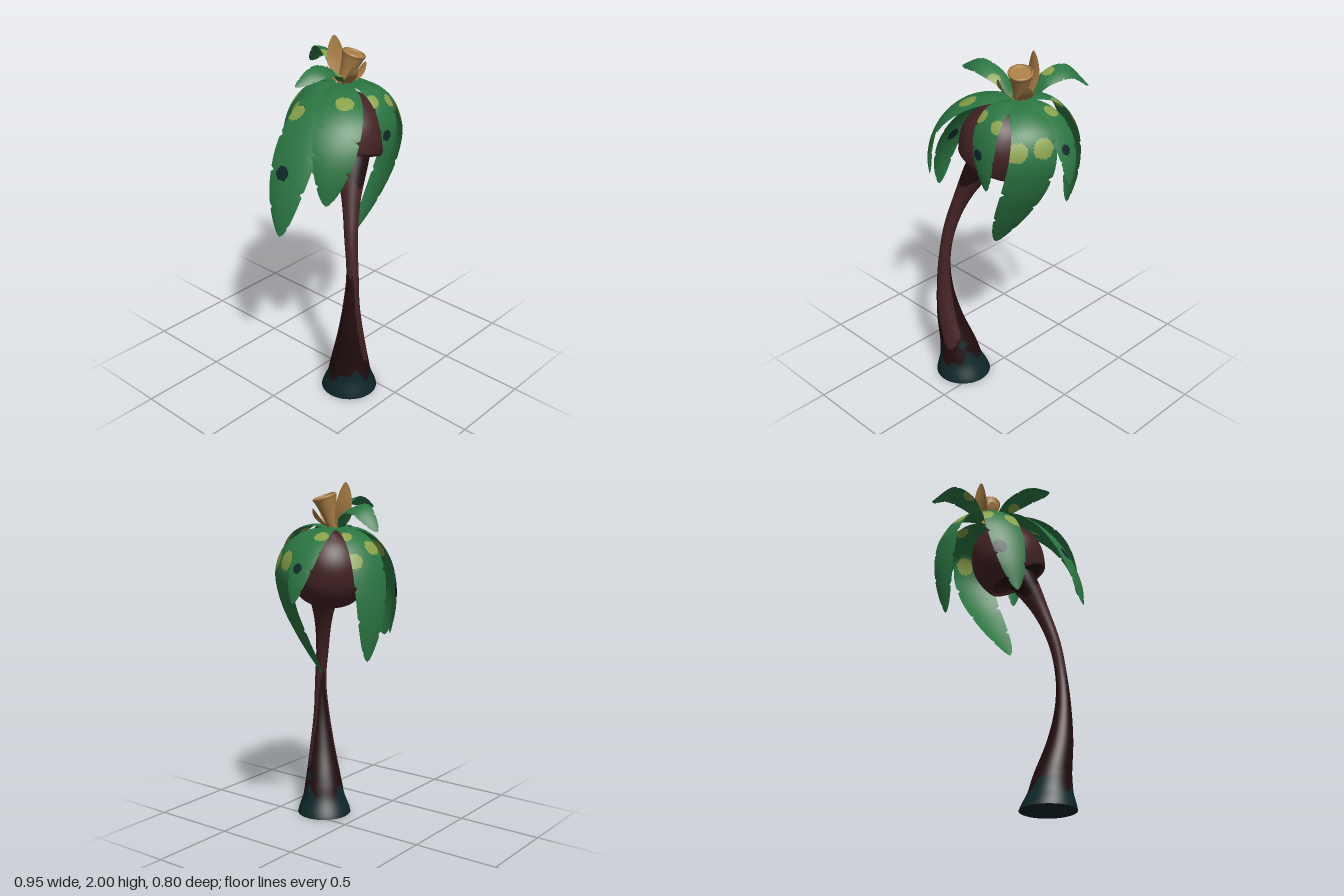
import * as THREE from 'three';

const V = (a) => new THREE.Vector3(...a);
const UP = new THREE.Vector3(0, 1, 0);
const CROWN = [0.11, 1.76, -0.02];

const mat = (name, color) => {
  const m = new THREE.MeshStandardMaterial({ color, side: THREE.DoubleSide });
  m.name = name;
  return m;
};

// Grid surface from point(i, j); colour(i, j) picks the material of each triangle.
function surface(nu, nv, closed, point, colour, materials) {
  const cols = closed ? nv : nv + 1;
  const pos = [];
  for (let i = 0; i <= nu; i++)
    for (let j = 0; j < cols; j++) pos.push(...point(i, j).toArray());
  const lists = materials.map(() => []);
  for (let i = 0; i < nu; i++) {
    for (let j = 0; j < nv; j++) {
      const k = (j + 1) % cols;
      const a = i * cols + j, b = i * cols + k, c = a + cols, d = b + cols;
      lists[colour(i + 0.33, j + 0.33)].push(a, b, c);
      lists[colour(i + 0.67, j + 0.67)].push(b, d, c);
    }
  }
  const geo = new THREE.BufferGeometry();
  geo.setAttribute('position', new THREE.Float32BufferAttribute(pos, 3));
  geo.setIndex(lists.flat());
  let start = 0;
  lists.forEach((l, m) => {
    if (l.length) geo.addGroup(start, l.length, m);
    start += l.length;
  });
  geo.computeVertexNormals();
  return new THREE.Mesh(geo, materials);
}

// Spine that leaves the crown level and falls to the tip; bow pushes its middle aside.
function droop(tip, bow) {
  const aim = V(tip).sub(V(CROWN)).setY(0).normalize();
  const base = V(CROWN).addScaledVector(aim, 0.04);
  const path = [];
  for (let i = 0; i <= 6; i++) {
    const s = i / 6, reach = Math.sin((s * Math.PI) / 2), swing = Math.sin(s * Math.PI);
    path.push([
      THREE.MathUtils.lerp(base.x, tip[0], reach) + bow[0] * swing,
      THREE.MathUtils.lerp(base.y, tip[1], 1 - Math.cos((s * Math.PI) / 2)) + bow[1] * swing,
      THREE.MathUtils.lerp(base.z, tip[2], reach) + bow[2] * swing,
    ]);
  }
  return path;
}

// Curved leaf blade around a spine, with drooping edges, edge nicks and round spots.
// tilt rolls the blade about its spine.
function blade(path, width, tilt, spots, materials, seed, nicks) {
  const nu = 64, nv = 28;
  const curve = new THREE.CatmullRomCurve3(path.map(V));
  const length = curve.getLength();
  const side0 = curve.getPoint(0.6).sub(curve.getPoint(0)).setY(0).normalize().cross(UP).setY(tilt).normalize();
  const half = (u) => 0.5 * width * Math.pow(Math.max(0, Math.sin(Math.PI * (0.07 + 0.93 * u))), 0.62);
  const frames = Array.from({ length: nu + 1 }, (_, i) => {
    const t = curve.getTangentAt(i / nu);
    const s = side0.clone().addScaledVector(t, -side0.dot(t)).normalize();
    return { p: curve.getPointAt(i / nu), s, n: s.clone().cross(t) };
  });
  const point = (i, j) => {
    const { p, s, n } = frames[i];
    const v = (j / nv) * 2 - 1;
    let w = half(i / nu);
    if (nicks && i > nu * 0.4 && (i * 5 + seed * 3 + (v > 0 ? 4 : 0)) % 13 === 0 && Math.abs(v) > 0.7) w *= 0.84;
    return p.clone().addScaledVector(s, v * w).addScaledVector(n, -0.15 * w * v * v);
  };
  const colour = (i, j) => {
    const u = i / nu, v = (j / nv) * 2 - 1;
    for (const [su, sv, r, m] of spots)
      if (Math.hypot((u - su) * length, (v - sv) * half(u)) < r) return m;
    return 0;
  };
  return surface(nu, nv, false, point, colour, materials);
}

// Smooth lathe whose axis starts at a point and runs along a direction.
function lathe(profile, origin, dir, material) {
  const pts = new THREE.SplineCurve(profile.map((p) => new THREE.Vector2(...p))).getPoints(profile.length * 5);
  pts.forEach((p) => { p.x = Math.max(0, p.x); });
  const m = new THREE.Mesh(new THREE.LatheGeometry(pts, 36), material);
  m.position.set(...origin);
  m.quaternion.setFromUnitVectors(UP, V(dir).normalize());
  return m;
}

export function createModel() {
  const group = new THREE.Group();
  const bark = mat('bark', 0x452325);
  const darkBark = mat('darkBark', 0x220d0f);
  const moss = mat('moss', 0x0f2729);
  const green = mat('leafGreen', 0x2b7642);
  const lime = mat('leafSpot', 0x88a049);
  const navy = mat('darkSpot', 0x10282d);
  const tan = mat('cutWood', 0xa97e45);
  const add = (name, mesh) => { mesh.name = name; group.add(mesh); };

  // Leaning trunk: x, y, z of the ring centre and its radius
  const rings = [
    [-0.11, 0, 0.24, 0.16], [-0.12, 0.1, 0.25, 0.126], [-0.13, 0.2, 0.26, 0.107], [-0.162, 0.4, 0.293, 0.074],
    [-0.177, 0.6, 0.31, 0.047], [-0.17, 0.8, 0.31, 0.034], [-0.148, 1.0, 0.278, 0.037],
    [-0.09, 1.2, 0.225, 0.053], [0.01, 1.43, 0.14, 0.1],
  ];
  const centre = new THREE.CatmullRomCurve3(rings.map((r) => V(r.slice(0, 3))));
  const radius = new THREE.SplineCurve(rings.map((r) => new THREE.Vector2(r[3], r[1])));
  const NU = 110, NV = 48;
  const angle = (j) => (-j / NV) * Math.PI * 2;
  const trunkPoint = (i, j) => {
    const r = radius.getPoint(i / NU).x;
    return centre.getPoint(i / NU).add(new THREE.Vector3(Math.cos(angle(j)) * r, 0, Math.sin(angle(j)) * r));
  };
  // Mossy foot, dark lower bark with pale streaks, dark collar under the bulb
  const trunkColour = (i, j) => {
    const a = angle(j), y = centre.getPoint(i / NU).y;
    if (y < 0.13 + 0.035 * Math.sin(3 * a + 1) + 0.02 * Math.sin(7 * a)) return 2;
    if (Math.hypot((a + 5.9) * 0.1, y - 0.23) < 0.025) return 2;
    const streak = Math.pow(Math.max(0, Math.cos(a - 0.95)), 2) + 0.7 * Math.pow(Math.max(0, Math.cos(a + 2.2)), 8);
    if (y < 0.82 - 0.85 * Math.min(streak, 0.68) + 0.04 * Math.sin(4 * a)) return 1;
    return y > 1.31 + 0.04 * Math.cos(2 * a) ? 1 : 0;
  };
  add('trunk', surface(NU, NV, true, trunkPoint, trunkColour, [bark, darkBark, moss]));
  const foot = new THREE.Mesh(new THREE.CircleGeometry(0.16, 40), moss);
  foot.rotation.x = Math.PI / 2;
  foot.position.set(-0.11, 0, 0.24);
  add('trunkFoot', foot);

  // Tilted bulb with a hollow underside
  const axis = [0.295, 0.9, -0.33], mouth = [0, 1.39, 0.12];
  add('bulb', lathe([[0.165, 0.01], [0.182, 0], [0.212, 0.09], [0.212, 0.17], [0.175, 0.265], [0.1, 0.335], [0, 0.37]], mouth, axis, bark));
  add('bulbHollow', lathe([[0, 0.09], [0.08, 0.08], [0.14, 0.05], [0.165, 0.01]], mouth, axis, darkBark));

  // Fronds; each spot is [along, across, radius, material index]
  const frond = (name, width, tilt, path, ...spots) =>
    add(name, blade(path, width, tilt, spots, [green, lime, navy], group.children.length, true));
  frond('leftFrond', 0.27, 0, droop([-0.48, 1.06, 0.06], [0.02, 0, 0]), [0.3, 0.75, 0.05, 1], [0.65, 0.3, 0.04, 2]);
  frond('frontLeftFrond', 0.25, 0, droop([-0.33, 1.25, 0.26], [0, 0.04, 0.05]), [0.3, -0.2, 0.05, 1]);
  frond('backLeftFrond', 0.21, 0, droop([-0.2, 1.14, -0.17], [0, 0.02, -0.07]),
    [0.31, 0.85, 0.05, 1], [0.36, -0.8, 0.06, 1], [0.65, 0.6, 0.04, 2]);
  frond('backFrond', 0.21, 0, droop([0.2, 1.06, -0.3], [0.02, 0.02, -0.08]),
    [0.28, -0.55, 0.045, 1], [0.36, 0.8, 0.045, 1], [0.17, 0.8, 0.035, 1]);
  frond('rightFrond', 0.16, 0, droop([0.475, 1.38, -0.01], [0, 0, -0.02]), [0.26, -0.4, 0.04, 1], [0.66, 0.2, 0.028, 2]);
  frond('frontRightFrond', 0.26, 0, droop([0.06, 0.915, 0.125], [0.3, 0.01, 0.065]), [0.34, 0.75, 0.06, 1], [0.32, -0.4, 0.055, 1]);
  frond('frontFrond', 0.16, 0, droop([0.14, 1.32, 0.28], [0, 0.05, 0.06]),
    [0.35, 0.85, 0.04, 1], [0.4, -0.8, 0.04, 1], [0.67, 0.45, 0.03, 2]);
  frond('backUpperFrond', 0.12, -0.45, [[0.13, 1.76, -0.07], [0.17, 1.85, -0.14], [0.22, 1.875, -0.26], [0.25, 1.76, -0.395]],
    [0.35, -0.7, 0.035, 1]);
  frond('leftUpperFrond', 0.11, 0.45, [[0.07, 1.77, 0], [0, 1.85, 0.03], [-0.14, 1.895, 0.05], [-0.3, 1.84, 0.02]],
    [0.3, -0.6, 0.035, 1]);

  // Cut stump on the crown, with small pointed husks around it
  add('stump', lathe([[0.035, 0], [0.043, 0.08], [0.06, 0.16], [0.067, 0.182], [0.06, 0.19], [0.052, 0.18], [0, 0.178]],
    [0.105, 1.745, -0.012], [0.04, 0.17, 0.04], tan));
  const husk = (name, width, ...path) => add(name, blade(path, width, 0, [], [tan], 0, false));
  husk('backHusk', 0.11, [0.115, 1.76, -0.045], [0.125, 1.88, -0.08], [0.12, 2.0, -0.095]);
  husk('frontHusk', 0.08, [0.09, 1.75, 0.01], [0.065, 1.82, 0.08], [0.065, 1.88, 0.11]);
  husk('rightHusk', 0.08, [0.14, 1.76, 0.01], [0.19, 1.81, 0.035], [0.22, 1.86, 0.05]);
  husk('leftHusk', 0.07, [0.09, 1.76, -0.04], [0.06, 1.8, -0.06], [0.05, 1.85, -0.08]);

  return group;
}
